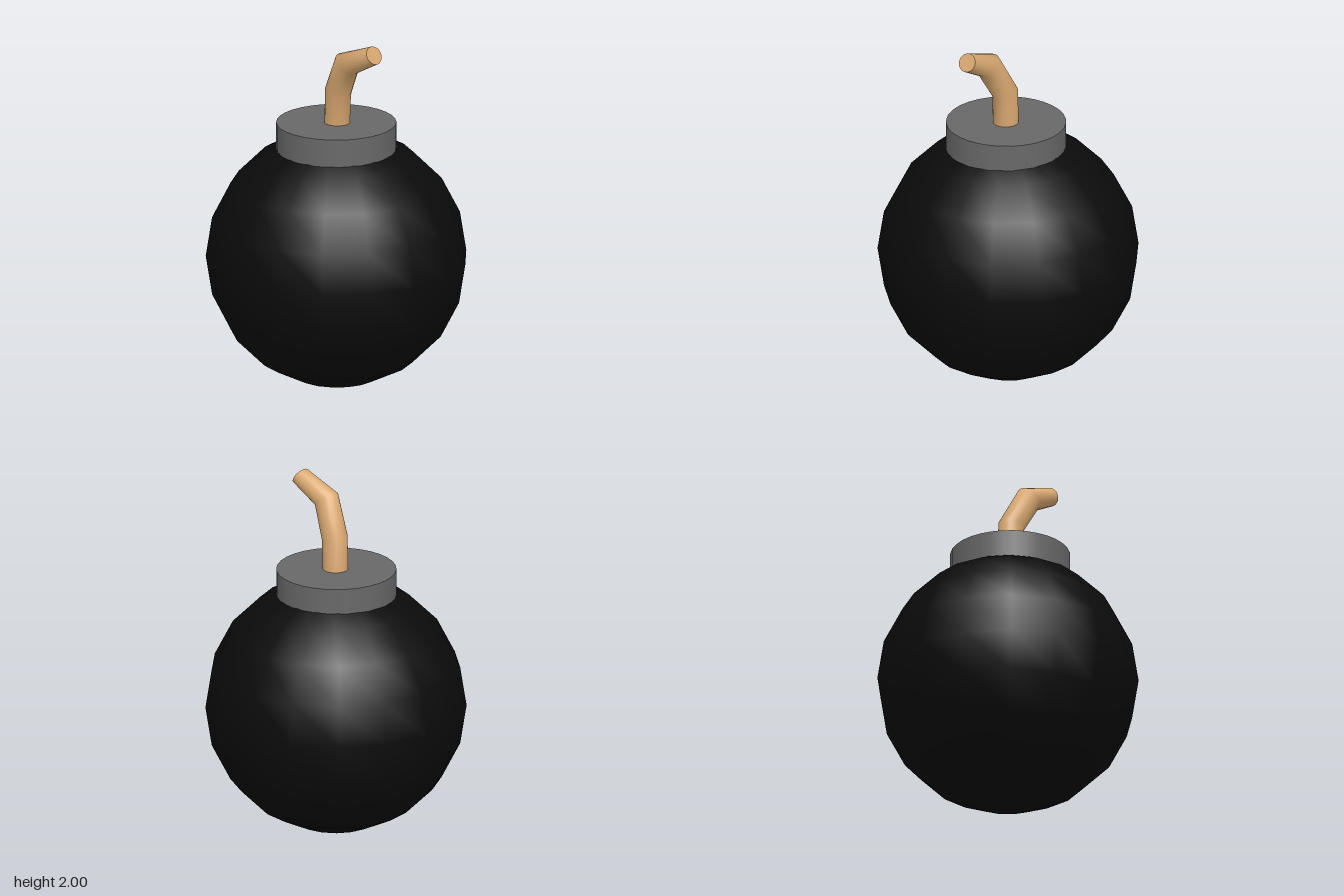
import * as THREE from 'three';
import { toCreasedNormals } from 'three/addons/utils/BufferGeometryUtils.js';

function addPart(group, name, geometry, color) {
  const mesh = new THREE.Mesh(geometry, new THREE.MeshStandardMaterial({ color }));
  mesh.name = name;
  group.add(mesh);
  return mesh;
}

// Bent cord: each row of a cylinder is moved onto a tilted ring
function fuseGeometry() {
  // centre x, y, z, half width, half depth, forward tilt in degrees
  const rings = [
    [-0.01, 1.42, 0.01, 0.07, 0.07, 0],
    [-0.01, 1.68, 0.018, 0.07, 0.075, 15],
    [-0.046, 1.868, 0.12, 0.067, 0.076, 38],
    [-0.035, 1.955, 0.315, 0.055, 0.052, 61],
  ];
  const last = rings.length - 1;
  const geo = new THREE.CylinderGeometry(1, 1, last, 20, last);
  const pos = geo.attributes.position;
  for (let i = 0; i < pos.count; i++) {
    const [cx, cy, cz, w, d, deg] = rings[Math.round(pos.getY(i) + last / 2)];
    const t = THREE.MathUtils.degToRad(deg);
    const depth = pos.getZ(i) * d;
    pos.setXYZ(i, cx + pos.getX(i) * w, cy - depth * Math.sin(t), cz + depth * Math.cos(t));
  }
  return toCreasedNormals(geo, 0.9);
}

export function createModel() {
  const model = new THREE.Group();
  model.name = 'roundBomb';

  // Faceted-outline ball with a corner pointing backward
  const body = addPart(model, 'body', new THREE.SphereGeometry(0.72, 17, 10), 0x0b0b0b);
  body.rotation.y = -Math.PI / 2;
  body.position.y = 0.722;

  // Collar sunk into the top of the ball
  const collar = addPart(model, 'collar', new THREE.CylinderGeometry(0.33, 0.33, 0.2, 32), 0x686868);
  collar.position.set(-0.012, 1.4, 0.007);

  addPart(model, 'fuse', fuseGeometry(), 0xd9a871);
  return model;
}
